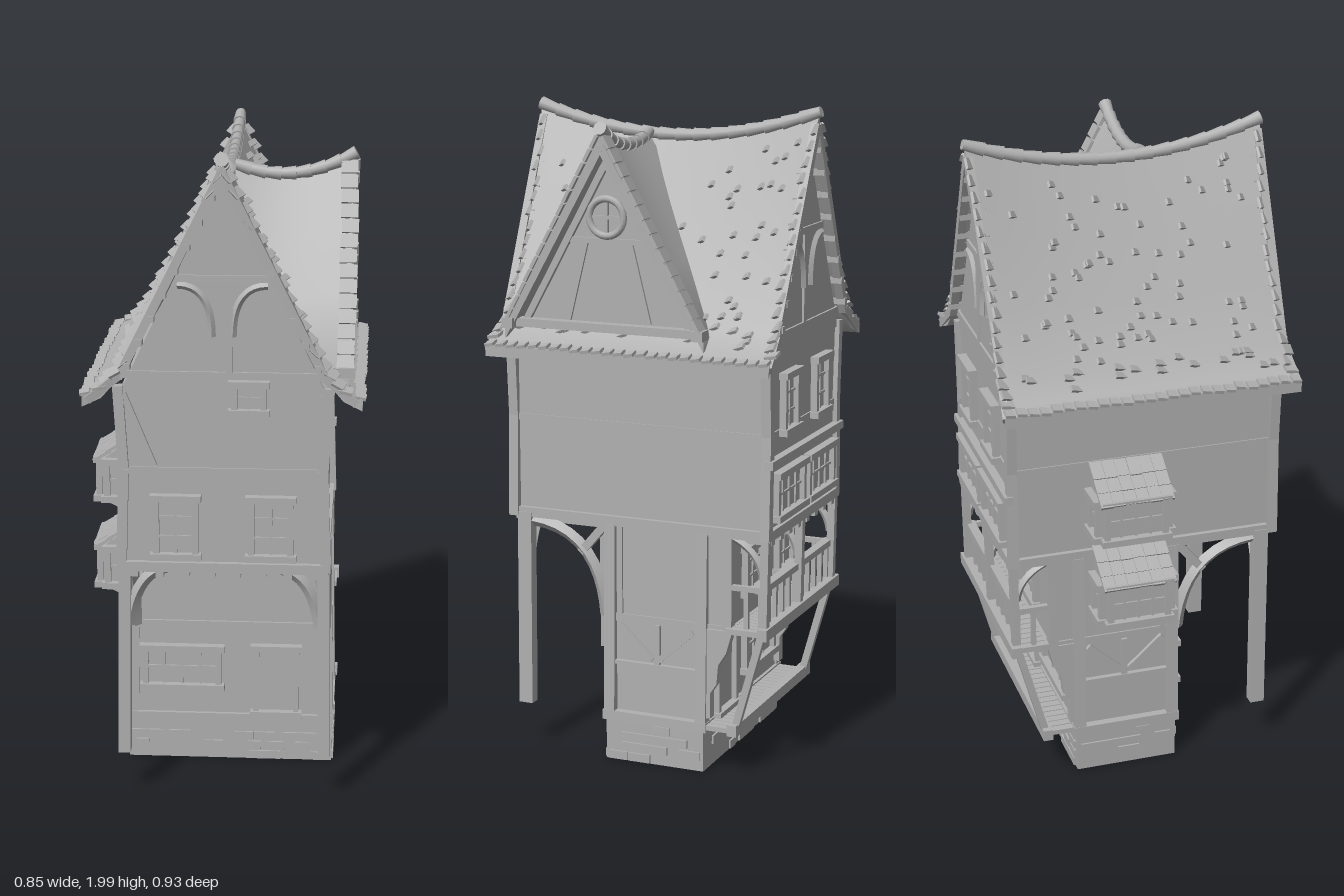
import * as THREE from 'three';
import { toCreasedNormals } from 'three/addons/utils/BufferGeometryUtils.js';

const grey = new THREE.MeshStandardMaterial({ color: 0xb0b0b0, side: THREE.DoubleSide });
grey.name = 'plain grey';
const V = (x, y, z) => new THREE.Vector3(x, y, z);
const UP = V(0, 1, 0);
const RIDGE_X = 0.013, DORMER_Z = 0.085;
let seed = 7;
const rnd = () => (seed = (seed * 16807) % 2147483647) / 2147483647;

function add(parent, name, geometry) {
  const m = new THREE.Mesh(geometry, grey);
  m.name = name;
  parent.add(m);
  return m;
}
function group(parent, name) {
  const g = new THREE.Group();
  g.name = name;
  parent.add(g);
  return g;
}
// box from its limits
function block(p, name, x0, x1, y0, y1, z0, z1) {
  const m = add(p, name, new THREE.BoxGeometry(x1 - x0, y1 - y0, z1 - z0));
  m.position.set((x0 + x1) / 2, (y0 + y1) / 2, (z0 + z1) / 2);
  return m;
}
// timber between two points
function bar(p, name, a, b, w = 0.025, d = w) {
  const dir = b.clone().sub(a);
  const m = add(p, name, new THREE.BoxGeometry(w, dir.length(), d));
  m.position.copy(a).lerp(b, 0.5);
  m.quaternion.setFromUnitVectors(UP, dir.normalize());
  return m;
}
// curved timber
function curved(p, name, a, mid, b, r = 0.017) {
  const g = new THREE.TubeGeometry(new THREE.QuadraticBezierCurve3(a, mid, b), 10, r, 4, false);
  return add(p, name, toCreasedNormals(g, 0.6));
}
// flat outline with depth
function slab(p, name, pts, depth) {
  const shape = new THREE.Shape(pts.map(q => new THREE.Vector2(...q)));
  return add(p, name, new THREE.ExtrudeGeometry(shape, { depth, bevelEnabled: false }));
}
// skin over a series of equal rings, with strip caps
function loft(p, name, rings) {
  const n = rings[0].length, idx = [], pos = rings.flat().flatMap(v => v.toArray());
  for (let i = 0; i < rings.length - 1; i++) for (let j = 0; j < n; j++) {
    const a = i * n + j, b = i * n + (j + 1) % n;
    idx.push(a, b, a + n, b, b + n, a + n);
  }
  const last = (rings.length - 1) * n;
  for (let j = 0; j < n / 2 - 1; j++) {
    const k = n - 1 - j;
    idx.push(j, k, j + 1, j + 1, k, k - 1);
    idx.push(last + j, last + j + 1, last + k, last + j + 1, last + k - 1, last + k);
  }
  const g = new THREE.BufferGeometry();
  g.setAttribute('position', new THREE.Float32BufferAttribute(pos, 3));
  g.setIndex(idx);
  return add(p, name, toCreasedNormals(g, 0.6));
}
// framed window or door facing +z before turning
function pane(p, name, x, y, z, w, h, turn = 0, cols = 2, rows = 3) {
  const g = group(p, name), t = 0.018;
  block(g, 'glass', -w / 2, w / 2, -h / 2, h / 2, -0.004, 0.004);
  for (const s of [-1, 1]) {
    block(g, 'jamb', s * w / 2 - t / 2, s * w / 2 + t / 2, -h / 2, h / 2, 0, 0.02);
    block(g, s < 0 ? 'sill' : 'lintel', -w / 2 - 0.018, w / 2 + 0.018, s * h / 2 - 0.01, s * h / 2 + 0.01, 0, 0.028);
  }
  for (let i = 1; i < cols; i++) bar(g, 'mullion', V(-w / 2 + i * w / cols, -h / 2, 0.006), V(-w / 2 + i * w / cols, h / 2, 0.006), 0.008);
  for (let i = 1; i < rows; i++) bar(g, 'crossbar', V(-w / 2, -h / 2 + i * h / rows, 0.006), V(w / 2, -h / 2 + i * h / rows, 0.006), 0.007);
  g.position.set(x, y, z);
  g.rotation.y = turn;
}

// sagging main roof
const OFF = [0, 0.1, 0.2, 0.3, 0.35, 0.405], FALL = [0, 0.31, 0.61, 0.88, 0.965, 1];
const ridgeY = z => 1.88 + 0.08 * (z / 0.45) ** 2;
function roofPoint(side, u, s) {
  let i = 0;
  while (i < 4 && u > OFF[i + 1]) i++;
  const f = THREE.MathUtils.lerp(FALL[i], FALL[i + 1], (u - OFF[i]) / (OFF[i + 1] - OFF[i]));
  const z = s * (0.427 + 0.025 * (2 * u / 0.405 - 1) ** 2);
  return V(RIDGE_X + side * u, ridgeY(z) * (1 - f) + 1.28 * f, z);
}
// shingle lying on the main roof
function shingle(p, side, u, s, w, l) {
  const a = roofPoint(side, u, s), b = roofPoint(side, u + 0.01, s);
  const down = b.sub(a).normalize(), along = V(0, 0, 1);
  down.z = 0; down.normalize();
  const out = V().crossVectors(along, down);
  if (out.y < 0) { out.negate(); along.negate(); }
  const m = add(p, 'shingle', new THREE.BoxGeometry(w, 0.01, l));
  m.quaternion.setFromRotationMatrix(new THREE.Matrix4().makeBasis(along, out, down));
  m.position.copy(a).addScaledVector(out, 0.002);
}
function buildRoof(root) {
  const g = group(root, 'mainRoof');
  const rings = [];
  for (let i = 0; i <= 16; i++) {
    const s = i / 8 - 1;
    const top = [...OFF.slice(1).reverse().map(u => roofPoint(-1, u, s)), ...OFF.map(u => roofPoint(1, u, s))];
    rings.push([...top, ...top.map(v => V(v.x, v.y - 0.035, v.z)).reverse()]);
  }
  loft(g, 'roofShell', rings);
  for (const side of [-1, 1]) {
    for (let i = 0; i < 90; i++) shingle(g, side, 0.03 + rnd() * 0.31, rnd() * 1.8 - 0.9, 0.022, 0.045);
    for (let i = 0; i < 17; i++) for (const s of [-1, 1]) shingle(g, side, 0.02 + i * 0.021, s * (0.98 + rnd() * 0.03), 0.04, 0.04);
    for (let i = 0; i < 26; i++) shingle(g, side, 0.392 + rnd() * 0.008, -0.97 + i * 0.0775, 0.032, 0.03);
  }
  const caps = (name, n, f) => {
    for (let i = 0; i < n; i++) {
      const a = f(i / n), b = f((i + 1) / n), d = b.clone().sub(a);
      const m = add(g, name, new THREE.CylinderGeometry(0.016, 0.021, d.length() * 1.1, 10));
      m.position.copy(a).lerp(b, 0.5);
      m.quaternion.setFromUnitVectors(UP, d.normalize());
    }
  };
  caps('ridgeTile', 16, t => { const z = 0.45 - t * 0.905; return V(RIDGE_X, ridgeY(z) + 0.006, z); });

  // dormer roof, its ridge dipping in the middle
  const dy = x => 1.862 + 0.055 * ((x - 0.17) / 0.2) ** 2;
  const dr = [];
  for (let i = 0; i <= 8; i++) {
    const x = 0.03 + i * 0.0435;
    const top = [-0.32, -0.2, -0.1, 0, 0.1, 0.2, 0.32].map(d => {
      const f = Math.abs(d) / 0.32;
      return V(x, dy(x) * (1 - f) + 1.335 * f, DORMER_Z + d);
    });
    dr.push([...top, ...top.map(v => V(v.x, v.y - 0.04, v.z)).reverse()]);
  }
  loft(g, 'dormerRoof', dr);
  caps('dormerRidgeTile', 8, t => { const x = 0.385 - t * 0.355; return V(x, dy(x) + 0.006, DORMER_Z); });
  const d = group(root, 'dormerGable');
  const wall = slab(d, 'dormerWall', [[-0.3, 1.31], [0.3, 1.31], [0, 1.86]], 0.02);
  wall.rotation.y = Math.PI / 2;
  wall.position.set(0.315, 0, DORMER_Z);
  for (const s of [-1, 1]) {
    bar(d, 'rakeBoard', V(0.368, 1.34, DORMER_Z + s * 0.305), V(0.372, 1.88, DORMER_Z), 0.03, 0.024);
    bar(d, 'innerRake', V(0.34, 1.34, DORMER_Z + s * 0.27), V(0.34, 1.83, DORMER_Z), 0.02, 0.02);
    bar(d, 'gableStrut', V(0.337, 1.36, DORMER_Z + s * 0.13), V(0.337, 1.6, DORMER_Z + s * 0.07), 0.012, 0.02);
    const end = add(d, 'rakeEnd', new THREE.BoxGeometry(0.05, 0.03, 0.035));
    end.position.set(0.37, 1.345, DORMER_Z + s * 0.305);
    for (let i = 0; i < 14; i++) { // dormer edge shingles
      const f = 0.06 + i * 0.068;
      const t = add(d, 'edgeShingle', new THREE.BoxGeometry(0.05, 0.01, 0.04));
      t.position.set(0.365 + rnd() * 0.008, dy(0.385) * (1 - f) + 1.335 * f + 0.003, DORMER_Z + s * 0.32 * f);
      t.rotation.x = s * 1.07;
    }
  }
  bar(d, 'tieBeam', V(0.35, 1.345, DORMER_Z - 0.31), V(0.35, 1.345, DORMER_Z + 0.31), 0.04, 0.025);
  bar(d, 'collarBeam', V(0.337, 1.6, DORMER_Z - 0.13), V(0.337, 1.6, DORMER_Z + 0.13), 0.016);
  const ring = add(d, 'roundWindow', new THREE.TorusGeometry(0.055, 0.011, 8, 24));
  ring.position.set(0.345, 1.67, DORMER_Z);
  ring.rotation.y = Math.PI / 2;
  bar(d, 'windowBar', V(0.342, 1.62, DORMER_Z), V(0.342, 1.72, DORMER_Z), 0.01);
  bar(d, 'windowBar', V(0.342, 1.67, DORMER_Z - 0.05), V(0.342, 1.67, DORMER_Z + 0.05), 0.01);
}

function buildWalls(root) {
  const g = group(root, 'walls');
  block(g, 'stoneBase', -0.305, 0.335, 0, 0.13, -0.22, 0.1);
  for (let i = 0; i < 70; i++) { // raised stones on all four sides
    const w = 0.04 + rnd() * 0.03, y = 0.015 + Math.floor(rnd() * 4) * 0.032, s = rnd() < 0.5 ? -1 : 1;
    const st = add(g, 'stone', new THREE.BoxGeometry(w, 0.026, 0.012));
    if (i % 3) st.position.set(0.015 + (rnd() - 0.5) * 0.57, y, -0.06 + s * 0.16);
    else { st.position.set(0.015 + s * 0.32, y, -0.06 + (rnd() - 0.5) * 0.25); st.rotation.y = Math.PI / 2; }
  }
  block(g, 'groundFloor', -0.285, 0.315, 0.13, 0.45, -0.22, 0.1);
  block(g, 'middleFloor', -0.285, 0.315, 0.45, 0.74, -0.3, 0.1);
  block(g, 'upperFloor', -0.28, 0.31, 0.74, 1.3, -0.41, 0.41);
  for (const z of [-0.415, 0.385]) {
    slab(g, 'gableWall', [[-0.285, 1.28], [0.315, 1.28], [RIDGE_X, 1.91]], 0.03).position.z = z;
  }
  // horizontal bands
  const band = (y, x0, x1, z0, z1, h) => block(g, 'beltBeam', x0, x1, y - h / 2, y + h / 2, z0, z1);
  band(0.14, -0.31, 0.34, -0.23, 0.112, 0.03);
  band(0.45, -0.29, 0.32, -0.31, 0.108, 0.025);
  band(0.75, -0.295, 0.325, -0.425, 0.427, 0.03);
  band(1.045, -0.284, 0.314, -0.415, 0.415, 0.02);
  for (let i = 0; i < 8; i++) bar(g, 'joist', V(-0.25 + i * 0.076, 0.73, -0.42), V(-0.25 + i * 0.076, 0.73, 0.42), 0.025);
  // corner posts
  for (const x of [-0.28, 0.31]) {
    const o = Math.sign(x);
    for (const z of [-0.41, 0.41]) {
      bar(g, 'cornerPost', V(x + o * 0.007, 0.74, z), V(x - o * 0.003, 1.05, z), 0.03);
      bar(g, 'cornerPost', V(x - o * 0.003, 1.05, z), V(x + o * 0.012, 1.3, z), 0.03);
    }
    for (const z of [-0.21, 0.09]) bar(g, 'lowerPost', V(x + o * 0.012, 0.13, z), V(x, 0.74, z), 0.035);
    bar(g, 'middlePost', V(x, 0.45, -0.29), V(x, 0.74, -0.29), 0.03);
    bar(g, 'sidePost', V(x + o * 0.006, 0.45, 0.06), V(x + o * 0.006, 0.74, 0.06), 0.012, 0.018);
    for (const s of [-1, 1]) bar(g, 'sideBrace', V(x + o * 0.012, 0.33, -0.06 + s * 0.01), V(x + o * 0.012, 0.43, -0.06 + s * 0.12), 0.012, 0.018);
    bar(g, 'sideRail', V(x + o * 0.012, 0.31, -0.2), V(x + o * 0.012, 0.31, 0.09), 0.018, 0.012);
    bar(g, 'sideStud', V(x + o * 0.012, 0.31, -0.065), V(x + o * 0.012, 0.44, -0.065), 0.012, 0.018);
  }
  // gable timbers, front and back
  for (const s of [-1, 1]) {
    const z = s * 0.416;
    bar(g, 'gableTie', V(-0.28, 1.335, z), V(0.31, 1.335, z), 0.022, 0.012);
    bar(g, 'gableCollar', V(-0.12, 1.62, z), V(0.146, 1.62, z), 0.02, 0.012);
    bar(g, 'gableStud', V(RIDGE_X + 0.02, 1.34, z), V(RIDGE_X + 0.02, 1.62, z), 0.02, 0.012);
    for (const o of [-1, 1]) {
      bar(g, 'rakeBoard', V(RIDGE_X + o * 0.3, 1.33, s * 0.432), V(RIDGE_X, 1.93, s * 0.442), 0.025, 0.025);
      bar(g, 'eaveBoard', V(RIDGE_X + o * 0.295, 1.34, s * 0.435), V(RIDGE_X + o * 0.39, 1.265, s * 0.445), 0.025, 0.02);
      for (let i = 0; i < 8; i++) bar(g, 'purlinEnd', V(RIDGE_X + o * (0.03 + i * 0.035), 1.855 - i * 0.07, s * 0.41), V(RIDGE_X + o * (0.03 + i * 0.035), 1.855 - i * 0.07, s * 0.45), 0.02);
      curved(g, 'gableBrace', V(RIDGE_X + o * 0.13, 1.6, z), V(RIDGE_X + o * 0.03, 1.6, z), V(RIDGE_X + o * 0.03, 1.45, z), 0.011);
      if (s > 0) bar(g, 'wallBrace', V(RIDGE_X + o * 0.2, 1.06, z), V(RIDGE_X + o * 0.29, 1.28, z), 0.018, 0.01);
    }
  }
  for (const z of [-0.28, 0.24]) bar(g, 'eaveBracket', V(0.3, 1.27, z), V(0.345, 1.27, z), 0.025, 0.04);
}

function buildOpenings(root) {
  const g = group(root, 'openings');
  for (const x of [-0.125, 0.155]) pane(g, 'upperWindow', x, 0.875, 0.414, 0.115, 0.18);
  pane(g, 'smallWindow', 0.09, 1.27, 0.414, 0.085, 0.085, 0, 2, 2);
  pane(g, 'groundWindow', -0.135, 0.31, 0.102, 0.23, 0.13, 0, 4, 2);
  pane(g, 'door', 0.16, 0.27, 0.102, 0.125, 0.22, 0, 1, 1);
  for (const x of [0.16, -0.11]) {
    pane(g, 'backUpperWindow', x, 1.13, -0.414, 0.105, 0.17, Math.PI);
    pane(g, 'backWideWindow', x - 0.005, 0.86, -0.414, 0.22, 0.13, Math.PI, 4, 2);
    pane(g, 'balconyWindow', x, 0.61, -0.302, 0.13, 0.14, Math.PI);
  }
  pane(g, 'backDoor', 0.18, 0.28, -0.222, 0.14, 0.25, Math.PI, 1, 1);
  pane(g, 'backGroundWindow', -0.1, 0.3, -0.222, 0.24, 0.15, Math.PI, 3, 2);
  block(g, 'backLedge', -0.3, 0.33, 0.955, 0.98, -0.435, -0.41);

  // projecting side windows with little shingled roofs
  for (const [y, z] of [[0.83, -0.06], [0.55, -0.05]]) {
    const b = group(g, 'sideBay');
    block(b, 'bayBody', -0.385, -0.27, y, y + 0.14, z - 0.1, z + 0.1);
    const under = slab(b, 'bayBracket', [[-0.28, y - 0.05], [-0.385, y], [-0.28, y]], 0.19);
    under.position.z = z - 0.095;
    const roof = slab(b, 'bayRoof', [[-0.275, y + 0.135], [-0.385, y + 0.135], [-0.275, y + 0.215]], 0.21);
    roof.position.z = z - 0.105;
    for (let r = 0; r < 3; r++) for (let i = 0; i < 6; i++) {
      const t = add(b, 'bayShingle', new THREE.BoxGeometry(0.062, 0.01, 0.037));
      t.position.set(-0.385 + r * 0.04 - rnd() * 0.005, y + 0.147 + r * 0.028, z - 0.095 + i * 0.038);
      t.rotation.z = 0.55;
    }
    pane(b, 'bayWindow', -0.386, y + 0.07, z, 0.18, 0.125, -Math.PI / 2, 4, 2);
    for (const s of [-1, 1]) pane(b, 'bayCheek', -0.335, y + 0.07, z + s * 0.1, 0.07, 0.12, s > 0 ? 0 : Math.PI, 2, 2);
  }
}

function buildPorchAndBalcony(root) {
  const g = group(root, 'porch');
  for (const [x, o] of [[-0.28, 1], [0.31, -1]]) {
    bar(g, 'porchPost', V(x - o * 0.008, 0.14, 0.375), V(x, 0.75, 0.375), 0.036, 0.045);
    curved(g, 'porchBrace', V(x, 0.725, 0.35), V(x, 0.71, 0.13), V(x, 0.45, 0.11), 0.02);
    bar(g, 'porchStrut', V(x, 0.64, 0.19), V(x, 0.74, 0.105), 0.025);
    curved(g, 'frontArch', V(x + o * 0.01, 0.55, 0.375), V(x + o * 0.03, 0.72, 0.375), V(x + o * 0.13, 0.735, 0.375), 0.018);
    curved(g, 'wallArch', V(x + o * 0.01, 0.55, 0.105), V(x + o * 0.03, 0.72, 0.105), V(x + o * 0.13, 0.735, 0.105), 0.014);
  }
  const b = group(root, 'balcony');
  for (let i = 0; i < 22; i++) { // plank floors
    const x = -0.295 + i * 0.029;
    block(b, 'balconyPlank', x, x + 0.025, 0.445, 0.462, -0.405 - rnd() * 0.015, -0.29);
    block(b, 'stepPlank', x, x + 0.025, 0.135, 0.15, -0.305 - rnd() * 0.015, -0.21);
    if (i % 2) bar(b, 'baluster', V(x, 0.46, -0.395), V(x, 0.58, -0.395), 0.014);
  }
  bar(b, 'balconyEdge', V(-0.31, 0.455, -0.41), V(0.345, 0.455, -0.41), 0.035, 0.03);
  bar(b, 'stepEdge', V(-0.31, 0.145, -0.315), V(0.345, 0.145, -0.315), 0.035, 0.03);
  bar(b, 'handRail', V(-0.29, 0.585, -0.395), V(0.325, 0.585, -0.395), 0.02, 0.028);
  for (const x of [-0.28, 0.02, 0.315]) {
    bar(b, 'balconyPost', V(x, 0.45, -0.405), V(x, 0.75, -0.41), 0.024);
    curved(b, 'postBrace', V(x, 0.62, -0.4), V(x, 0.7, -0.39), V(x, 0.735, -0.31), 0.012);
    if (x === 0.02) continue;
    bar(b, 'slantedStrut', V(x, 0.15, -0.318), V(x, 0.45, -0.4), 0.022);
    bar(b, 'sideRail', V(x, 0.585, -0.3), V(x, 0.585, -0.4), 0.016);
    bar(b, 'sideBaluster', V(x, 0.46, -0.35), V(x, 0.58, -0.35), 0.014);
    const bracket = slab(b, 'stepBracket', [[0.21, 0.17], [0.24, 0.17], [0.24, 0.25], [0.26, 0.28], [0.265, 0.34], [0.29, 0.38], [0.31, 0.45], [0.21, 0.45]], 0.03);
    bracket.rotation.y = Math.PI / 2;
    bracket.position.x = x - 0.015;
  }
}

export function createModel() {
  seed = 7;
  const root = new THREE.Group();
  root.name = 'timberHouse';
  buildRoof(root);
  buildWalls(root);
  buildOpenings(root);
  buildPorchAndBalcony(root);
  return root;
}
